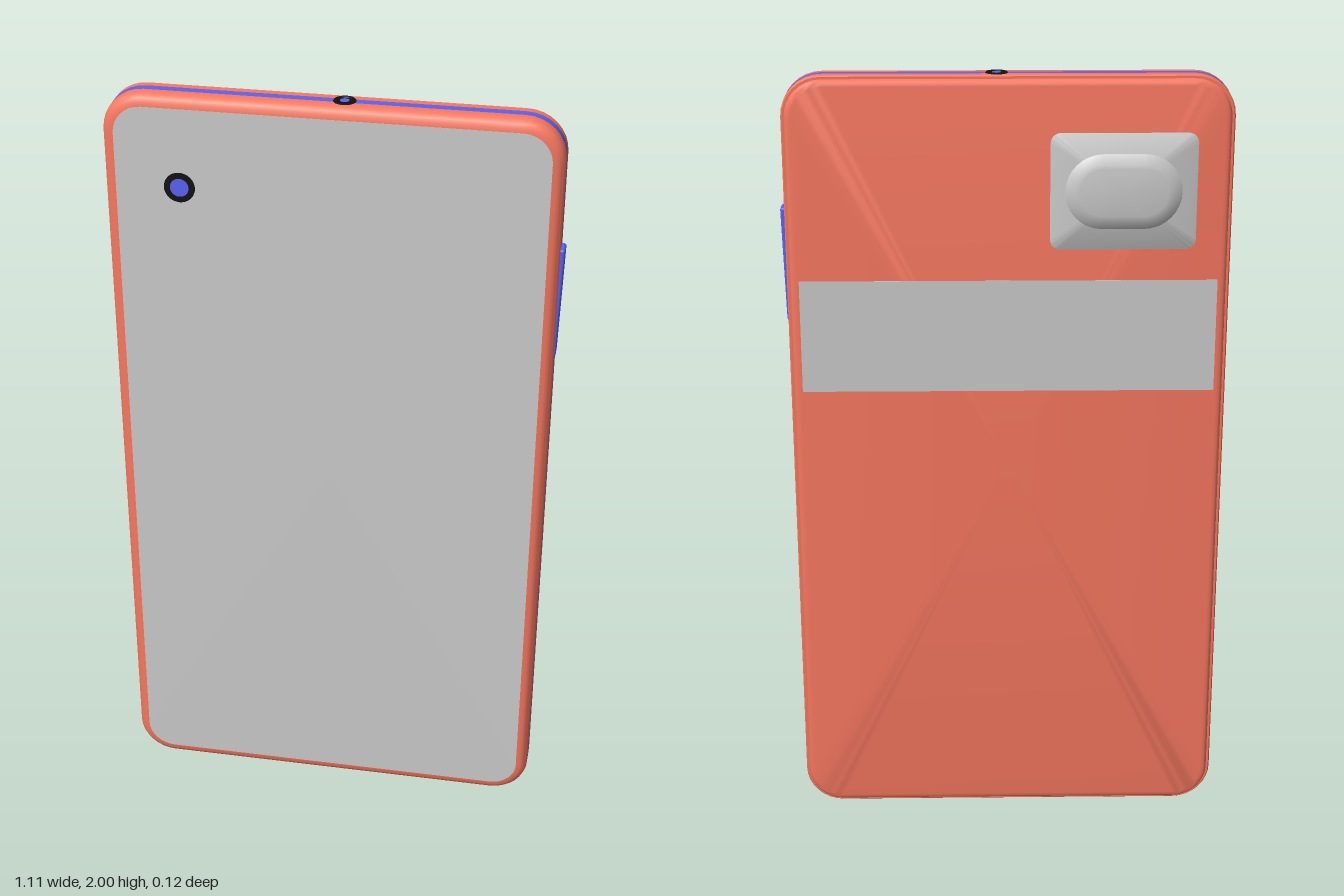
import * as THREE from 'three';
import { toCreasedNormals } from 'three/addons/utils/BufferGeometryUtils.js';
import { RoundedBoxGeometry } from 'three/addons/geometries/RoundedBoxGeometry.js';

const mat = (color) => new THREE.MeshStandardMaterial({ color });
const GREY = mat(0xcccccc), CORAL = mat(0xf87860), BLUE = mat(0x5a62f0), BLACK = mat(0x111111);

// Rounded rectangle outline, counter-clockwise, as [x, y] points
function outline(w, h, r, steps = 8) {
  const pts = [];
  [[1, 1], [-1, 1], [-1, -1], [1, -1]].forEach(([sx, sy], q) => {
    for (let i = 0; i <= steps; i++) {
      const a = (q + i / steps) * Math.PI / 2;
      pts.push([sx * (w / 2 - r) + r * Math.cos(a), sy * (h / 2 - r) + r * Math.sin(a)]);
    }
  });
  return pts;
}

// Skin over rounded rectangles; sections are [inset, z], listed from +z to -z
function loft(w, h, r, sections, frontCap = false, backCap = false) {
  const pos = [], idx = [];
  let n = 0;
  for (const [d, z] of sections) {
    const ring = outline(w - 2 * d, h - 2 * d, Math.max(r - d, 0.002));
    n = ring.length;
    for (const [x, y] of ring) pos.push(x, y, z);
  }
  for (let s = 0; s < sections.length - 1; s++) {
    for (let i = 0; i < n; i++) {
      const j = (i + 1) % n, a = s * n + i, b = s * n + j;
      idx.push(a, a + n, b, b, a + n, b + n);
    }
  }
  const cap = (first, z, front) => {
    const c = pos.length / 3;
    pos.push(0, 0, z);
    for (let i = 0; i < n; i++) {
      const a = first + i, b = first + (i + 1) % n;
      idx.push(c, front ? a : b, front ? b : a);
    }
  };
  const last = sections.length - 1;
  if (frontCap) cap(0, sections[0][1], true);
  if (backCap) cap(last * n, sections[last][1], false);
  const g = new THREE.BufferGeometry();
  g.setAttribute('position', new THREE.Float32BufferAttribute(pos, 3));
  g.setIndex(idx);
  return toCreasedNormals(g, 0.6);
}

export function createModel() {
  const model = new THREE.Group();
  model.name = 'tablet';
  const add = (name, geo, material, x = 0, y = 0, z = 0) => {
    const m = new THREE.Mesh(geo, material);
    m.name = name;
    m.position.set(x, y, z);
    model.add(m);
    return m;
  };

  // Case: front shell, coloured side band, rear shell and stepped back cover
  const W = 1.101, H = 1.996, R = 0.1, CX = -0.006;
  const shell = (name, sections, material, front, back) =>
    add(name, loft(W, H, R, sections, front, back), material, CX, 1, 0);
  shell('frontShell', [[0.029, 0.055], [0.018, 0.0535], [0.009, 0.049], [0.003, 0.041], [0, 0.031], [0, 0.015]], CORAL);
  shell('sideBand', [[0, 0.015], [0, -0.007]], BLUE);
  shell('rearShell', [[0, -0.007], [0, -0.026], [0.003, -0.03], [0.012, -0.03]], CORAL);
  shell('backCover', [[0.009, -0.029], [0.009, -0.034], [0.012, -0.04], [0.017, -0.043], [0.025, -0.044]], CORAL, false, true);
  shell('screen', [[0.029, 0.0555], [0.029, 0.054]], GREY, true);

  // Front camera
  const disc = (r, t) => new THREE.CylinderGeometry(r, r, t, 32);
  add('frontCameraRing', disc(0.038, 0.006), BLACK, -0.37, 1.77, 0.0545).rotation.x = Math.PI / 2;
  add('frontCameraLens', disc(0.023, 0.006), BLUE, -0.37, 1.77, 0.0555).rotation.x = Math.PI / 2;

  // Grey stripe and camera panel with its raised capsule on the back
  add('backStripe', loft(1.04, 0.29, 0.002, [[0, -0.043], [0, -0.045]], false, true), GREY, CX, 1.345, 0);
  add('cameraPanel', loft(0.36, 0.29, 0.025, [[0, -0.043], [0, -0.0465], [0.002, -0.0475]], false, true), GREY, -0.288, 1.715, 0);
  add('cameraBump', loft(0.29, 0.19, 0.095,
    [[0, -0.046], [0.004, -0.05], [0.028, -0.059], [0.036, -0.0605]], false, true), GREY, -0.288, 1.715, 0);

  // Side buttons
  const rocker = add('leftButton', new RoundedBoxGeometry(0.03, 0.29, 0.046, 3, 0.006), BLUE, 0.537, 1.525, 0.007);
  rocker.rotation.z = -0.025;
  add('rightButton', new RoundedBoxGeometry(0.02, 0.16, 0.036, 3, 0.006), BLUE, -0.549, 1.54, 0.005);

  // Round socket on the top edge
  const ring = [[0.013, -0.01], [0.016, 0], [0.026, 0], [0.029, -0.004], [0.029, -0.012]]
    .map(([r, y]) => new THREE.Vector2(r, y)).reverse();
  const socket = new THREE.LatheGeometry(ring, 32);
  const socketMat = BLACK.clone();
  socketMat.side = THREE.DoubleSide;
  add('socketRing', socket, socketMat, 0.022, 2, 0.004);
  add('socketSurround', disc(0.018, 0.006), BLACK, 0.022, 1.9955, 0.004);
  add('socketCore', disc(0.011, 0.006), BLUE, 0.022, 1.9965, 0.004);

  // Charging port on the bottom edge
  const port = (name, w, h, y, material) => {
    const m = add(name, loft(w, h, h / 2, [[0, 0.004], [0, -0.004]], true, true), material, CX, y, 0.004);
    m.rotation.x = Math.PI / 2;
  };
  port('portRim', 0.12, 0.04, 0.0045, GREY);
  port('portOpening', 0.095, 0.02, 0.004, BLACK);

  return model;
}
